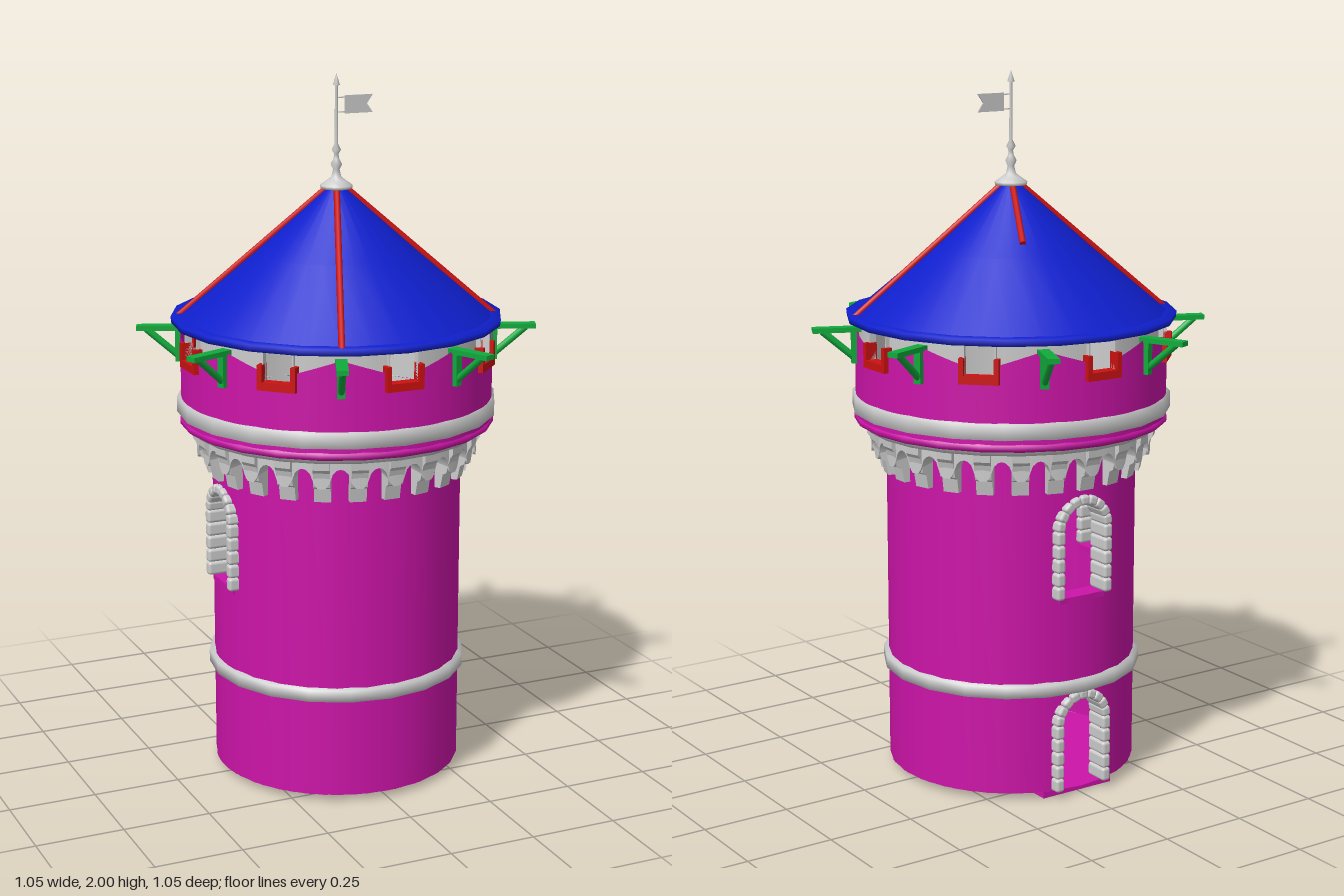
import * as THREE from 'three';
import { ParametricGeometry } from 'three/addons/geometries/ParametricGeometry.js';
import { RoundedBoxGeometry } from 'three/addons/geometries/RoundedBoxGeometry.js';

const material = (color) => new THREE.MeshStandardMaterial({ color, side: THREE.DoubleSide });
const stone = material(0xcccccc);
const plaster = material(0xcc14a8);
const tile = material(0x0f1fcc);
const red = material(0xcc1111);
const green = material(0x11aa3c);

export function createModel() {
  const model = new THREE.Group();
  const TAU = Math.PI * 2;

  function add(name, geometry, mat, parent = model) {
    const mesh = new THREE.Mesh(geometry, mat);
    mesh.name = name;
    parent.add(mesh);
    return mesh;
  }
  function group(name, angle = 0, parent = model) {
    const g = new THREE.Group();
    g.name = name;
    g.rotation.y = angle;
    parent.add(g);
    return g;
  }
  function box(name, w, h, d, x, y, z, mat, parent) {
    const mesh = add(name, new THREE.BoxGeometry(w, h, d), mat, parent);
    mesh.position.set(x, y, z);
    return mesh;
  }
  // Curved surface around the y axis; angle 0 is the front
  function wall(name, mat, r, t0, t1, lo, hi, steps) {
    const low = typeof lo === 'function' ? lo : () => lo;
    const high = typeof hi === 'function' ? hi : () => hi;
    return add(name, new ParametricGeometry((u, v, p) => {
      const t = t0 + (t1 - t0) * u;
      p.set(Math.sin(t) * r, low(t) + (high(t) - low(t)) * v, Math.cos(t) * r);
    }, steps, 1), mat);
  }
  function lathe(name, points, mat, sides) {
    return add(name, new THREE.LatheGeometry(points.map((p) => new THREE.Vector2(...p)), sides), mat);
  }
  // Straight round beam between two points
  function beam(name, a, b, r, mat, parent) {
    const from = new THREE.Vector3(...a), to = new THREE.Vector3(...b);
    const mesh = add(name, new THREE.CylinderGeometry(r, r, from.distanceTo(to), 8), mat, parent);
    mesh.position.copy(from).lerp(to, 0.5);
    mesh.quaternion.setFromUnitVectors(new THREE.Vector3(0, 1, 0), to.sub(from).normalize());
    return mesh;
  }

  // Shaft, with a doorway and a window at the back and a window at the right
  const R = 0.355, base = 0.02, top = 1.02, halfWidth = 0.07, half = halfWidth / R;
  const doorSpring = 0.215, windowSpring = 0.775, sill = 0.58;
  const back = Math.PI, side = Math.PI * 1.5;
  const arch = (spring, c) => (t) =>
    spring + Math.sqrt(Math.max(0, halfWidth ** 2 - (R * (t - c)) ** 2));
  wall('shaftWall', plaster, R, side - TAU + half, back - half, base, top, 18);
  wall('shaftWall', plaster, R, back + half, side - half, base, top, 5);
  wall('wallBetweenOpenings', plaster, R, back - half, back + half, arch(doorSpring, back), sill, 16);
  wall('wallBelowWindow', plaster, R, side - half, side + half, base, sill, 4);
  for (const c of [back, side])
    wall('wallAboveWindow', plaster, R, c - half, c + half, arch(windowSpring, c), top, 16);
  const floor = add('floor', new THREE.CircleGeometry(R, 24), plaster);
  floor.rotation.x = -Math.PI / 2;
  floor.position.y = base;
  box('doorStep', 0.23, 0.02, 0.05, 0, 0.01, -0.31, plaster);

  // Rounded stones framing each opening
  function archFrame(name, angle, bottom, spring) {
    const g = group(name, angle);
    const put = (x, y, h, turn) => {
      const s = add('frameStone', new RoundedBoxGeometry(0.028, h, 0.075, 2, 0.009), stone, g);
      s.position.set(x, y, 0.332);
      s.rotation.z = turn;
    };
    const rows = 5, h = (spring - bottom) / rows, r = 0.079, wedges = 9;
    for (let i = 0; i < rows; i++)
      for (const s of [-1, 1]) put(s * r, bottom + h * (i + 0.5), h, 0);
    for (let i = 0; i < wedges; i++) {
      const a = (i + 0.5) / wedges * Math.PI;
      put(Math.cos(a) * r, spring + Math.sin(a) * r, 0.03, a);
    }
    return g;
  }
  archFrame('doorFrame', back, base, doorSpring);
  for (const c of [back, side]) {
    const g = archFrame('windowFrame', c, sill, windowSpring);
    box('windowSill', 0.15, 0.015, 0.06, 0, sill - 0.008, 0.322, plaster, g);
  }

  // Stone belts
  const belt = (name, r, out, y0, y1) => lathe(name,
    [[r, y0], [out, y0 + 0.004], [out, y1 - 0.006], [r, y1]], stone, 20);
  belt('lowerBelt', 0.345, 0.371, 0.3, 0.343);
  belt('upperBelt', 0.43, 0.452, 1.052, 1.104);

  // Ring of arches carried on stepped corbels
  const corbels = 24, pitch = TAU / corbels;
  const curtain = (t) => {
    const d = Math.abs(t / pitch - Math.floor(t / pitch) - 0.5) * 2;
    return 0.93 + 0.055 * Math.sqrt(Math.max(0, 1 - (d / 0.62) ** 2));
  };
  wall('archedCurtain', stone, 0.398, 0, TAU, curtain, top, corbels * 10);
  add('archSoffits', new ParametricGeometry((u, v, p) => {
    const t = u * TAU, r = 0.398 - 0.05 * v;
    p.set(Math.sin(t) * r, curtain(t), Math.cos(t) * r);
  }, corbels * 10, 1), stone);
  const profile = new THREE.Shape([[0.34, 0.885], [0.37, 0.885], [0.378, 0.925], [0.39, 0.932],
    [0.402, 0.975], [0.41, 0.985], [0.412, 1.02], [0.34, 1.02]].map((p) => new THREE.Vector2(...p)));
  const corbelShape = new THREE.ExtrudeGeometry(profile, { depth: 0.046, bevelEnabled: false })
    .translate(0, 0, -0.023);
  for (let i = 0; i < corbels; i++)
    add('corbel', corbelShape, stone).rotation.y = i * pitch - Math.PI / 2;
  lathe('corbelCap', [[0.35, 1.0], [0.414, 1.005], [0.42, 1.02]], stone, 24);

  // Gallery drum with eight openings under the eaves
  lathe('galleryLedge', [[0, 1.02], [0.435, 1.02], [0.445, 1.027], [0.445, 1.04], [0.43, 1.05]], plaster, 24);
  const D = 0.44, eighth = TAU / 8, gap = 0.1;
  for (let i = 0; i < 8; i++) {
    const t = i * eighth;
    const slope = (a) => 1.255 + 0.04 * (1 - Math.abs(a - t - eighth / 2) / (eighth / 2 - gap));
    wall('galleryWall', plaster, D, t + gap, t + eighth - gap, 1.03, slope, 8);
    wall('galleryParapet', plaster, D, t - gap, t + gap, 1.03, 1.225, 3);
    wall('galleryLining', stone, 0.428, t + gap, t + eighth - gap, 1.03, 1.33, 8);
    wall('parapetLining', stone, 0.428, t - gap, t + gap, 1.03, 1.225, 3);

    const frame = group('galleryWindowFrame', t);
    box('frameSill', 0.11, 0.022, 0.035, 0, 1.217, 0.433, red, frame);
    for (const s of [-1, 1]) {
      box('frameJamb', 0.014, 0.05, 0.035, s * 0.048, 1.25, 0.433, red, frame);
      box('openingJamb', 0.004, 0.1, 0.02, s * 0.043, 1.275, 0.428, stone, frame);
    }

    // Timber bracket between two openings
    const bracket = group('eavesBracket', t + eighth / 2);
    box('bracketArm', 0.032, 0.014, 0.15, 0, 1.291, 0.487, green, bracket);
    box('bracketPost', 0.022, 0.1, 0.016, 0, 1.245, 0.446, green, bracket);
    beam('bracketStrut', [0, 1.21, 0.445], [0, 1.287, 0.535], 0.01, green, bracket);
  }

  // Conical roof with a turned-out eaves lip
  lathe('roof', [[0.435, 1.312], [0.464, 1.312], [0.466, 1.33], [0.437, 1.333]], tile, 20);
  lathe('roofCone', [[0.45, 1.318], [0.225, 1.508], [0.02, 1.69]], tile, 32);
  const coneY = (r) => 1.318 + (0.45 - r) * 0.865;
  for (const [angle, reach] of [[1.19, 0.45], [-0.39, 0.45], [-1.96, 0.45], [2.72, 0.19]])
    beam('roofRib', [0, coneY(0.02), 0.02], [0, coneY(reach) + 0.002, reach], 0.009, red,
      group('roofRibMount', angle));

  // Finial, pole and swallow-tailed flag
  lathe('finial', [[0, 1.683], [0.044, 1.683], [0.046, 1.692], [0.03, 1.703], [0.014, 1.715], [0.009, 1.735],
    [0.016, 1.75], [0.008, 1.765], [0.006, 1.778], [0.013, 1.79], [0.005, 1.806], [0.004, 1.965],
    [0.01, 1.968], [0, 2]], stone, 12);
  const flag = new THREE.Shape([[0.025, 1.888], [0.11, 1.888], [0.092, 1.913], [0.11, 1.938], [0.025, 1.938]]
    .map((p) => new THREE.Vector2(...p)));
  add('flag', new THREE.ExtrudeGeometry(flag, { depth: 0.004, bevelEnabled: false }).translate(0, 0, -0.002), stone);
  for (const y of [1.893, 1.933]) box('flagTie', 0.03, 0.003, 0.003, 0.014, y, 0, stone);

  return model;
}
